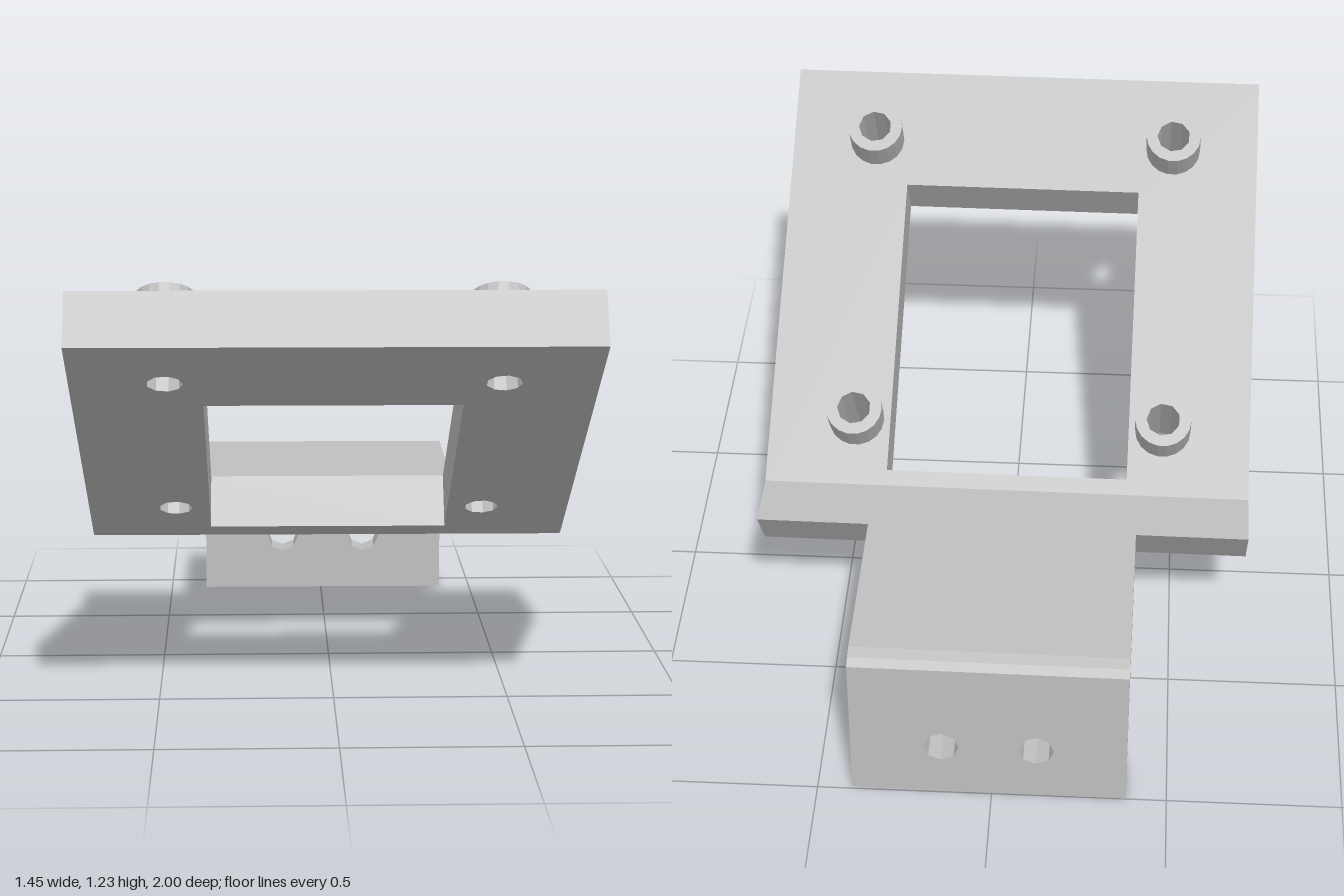
import * as THREE from 'three';

const grey = new THREE.MeshStandardMaterial({ color: 0xc0c0c0 });
grey.name = 'plain grey';

// regular polygon outline
function ring(x, y, r, n) {
  const pts = [];
  for (let i = 0; i < n; i++) {
    const a = (i / n) * Math.PI * 2;
    pts.push(new THREE.Vector2(x + r * Math.cos(a), y + r * Math.sin(a)));
  }
  return pts;
}

function rect(x0, y0, x1, y1) {
  return [[x0, y0], [x1, y0], [x1, y1], [x0, y1]].map(p => new THREE.Vector2(...p));
}

function extrude(name, outline, holes, depth) {
  const shape = new THREE.Shape(outline);
  holes.forEach(h => shape.holes.push(new THREE.Path(h)));
  const mesh = new THREE.Mesh(
    new THREE.ExtrudeGeometry(shape, { depth, bevelEnabled: false }), grey);
  mesh.name = name;
  return mesh;
}

// side profile given as [z, y], extruded across the width
function sideProfile(name, pts, width) {
  const mesh = extrude(name, pts.map(p => new THREE.Vector2(...p)), [], width);
  mesh.rotation.y = -Math.PI / 2;
  mesh.position.x = width / 2;
  return mesh;
}

export function createModel() {
  const model = new THREE.Group();
  model.name = 'mountingBracket';

  // sloped plate, drawn in its own plane: x across, y up the slope
  const slope = new THREE.Group();
  slope.name = 'slopedPlate';
  slope.position.set(0, 0.49, -0.23);
  slope.rotation.x = Math.atan2(1.14, 0.74);
  const bosses = [];
  for (const x of [-0.46, 0.46]) for (const v of [0.207, 1.125]) bosses.push([x, v]);
  const holes = bosses.map(([x, v]) => ring(x, v, 0.05, 9));
  slope.add(extrude('plate', rect(-0.72, 0, 0.72, 1.359),
    [rect(-0.358, 0.048, 0.358, 0.977), ...holes], 0.166));

  // hollow bosses standing on the plate
  bosses.forEach(([x, v], i) => {
    const boss = extrude('boss', ring(x, v, 0.083, 18), [holes[i]], 0.1);
    boss.position.z = -0.1;
    slope.add(boss);
  });
  model.add(slope);

  // full-width bend at the foot of the plate
  model.add(sideProfile('bend', [
    [-0.23, 0.49], [-0.41, 0.49], [-0.3, 0.33], [-0.2, 0.33], [-0.17, 0.336], [-0.14, 0.351],
  ], 1.44));

  // level arm with eased back edge
  model.add(sideProfile('arm', [
    [-0.41, 0.49], [-0.935, 0.49], [-0.97, 0.482], [-0.995, 0.468], [-0.995, 0.33], [-0.3, 0.33],
  ], 0.785));

  // hanging flange with two screw holes
  const flange = extrude('flange', rect(-0.3925, 0, 0.3925, 0.33),
    [ring(-0.135, 0.175, 0.051, 8), ring(0.135, 0.175, 0.051, 8)], 0.105);
  flange.position.z = -0.995;
  model.add(flange);

  // the part sits turned by half a degree
  model.rotation.y = -0.0087;
  const group = new THREE.Group();
  group.name = 'bracket';
  group.add(model);
  return group;
}
